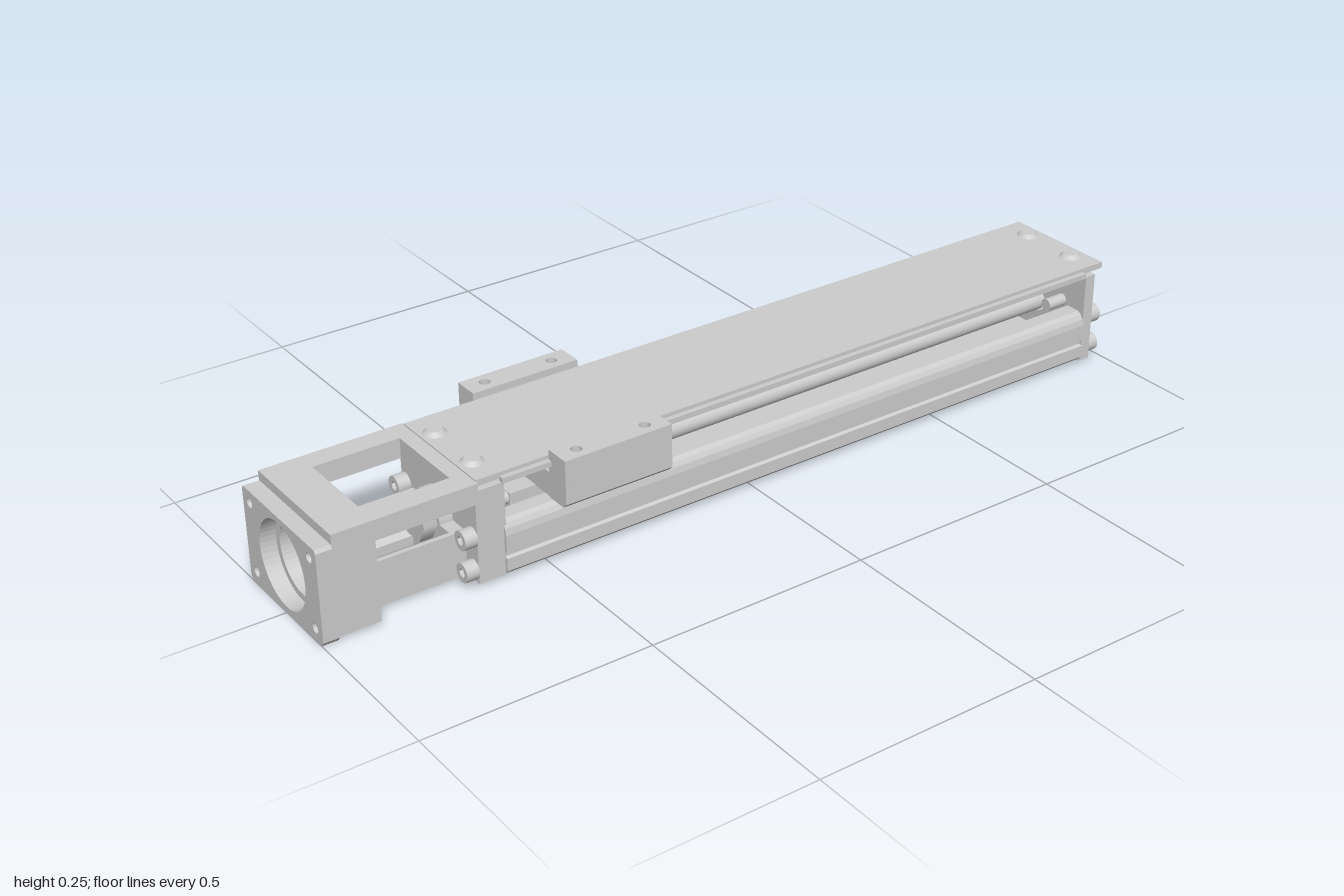
import * as THREE from 'three';

const mat = new THREE.MeshStandardMaterial({ color: 0xcccccc, side: THREE.DoubleSide });
const SHAFT_Y = 0.107;

export function createModel() {
  const model = new THREE.Group();
  const add = (name, geo, parent = model) => {
    const m = new THREE.Mesh(geo, mat);
    m.name = name;
    parent.add(m);
    return m;
  };
  const box = (name, x0, x1, y0, y1, z0, z1) =>
    add(name, new THREE.BoxGeometry(x1 - x0, y1 - y0, z1 - z0)
      .translate((x0 + x1) / 2, (y0 + y1) / 2, (z0 + z1) / 2));
  const rod = (name, x0, x1, y, z, r, sides = 24) =>
    add(name, new THREE.CylinderGeometry(r, r, x1 - x0, sides).rotateZ(Math.PI / 2)
      .translate((x0 + x1) / 2, y, z));
  const outline = (pts, holes = []) => {
    const s = new THREE.Shape(pts.map(p => new THREE.Vector2(...p)));
    for (const [x, y, r] of holes) s.holes.push(new THREE.Path().absarc(x, y, r, 0, Math.PI * 2, true));
    return s;
  };
  const rect = (x0, x1, y0, y1) => [[x0, y0], [x1, y0], [x1, y1], [x0, y1]];
  // Section in (z, y) swept along x
  const alongX = (name, x0, x1, pts, holes = []) =>
    add(name, new THREE.ExtrudeGeometry(
      outline(pts.map(([z, y]) => [-z, y]), holes.map(([z, y, r]) => [-z, y, r])),
      { depth: x1 - x0, bevelEnabled: false, curveSegments: 24 }).rotateY(Math.PI / 2).translate(x0, 0, 0));
  // Plan in (x, z) swept upwards
  const upwards = (name, y0, y1, shape) =>
    add(name, new THREE.ExtrudeGeometry(shape, { depth: y1 - y0, bevelEnabled: false, curveSegments: 16 })
      .rotateX(-Math.PI / 2).translate(0, y0, 0));
  // Socket head with a hexagonal recess, axis along +z before rotation
  const socketHead = (r, h) => {
    const s = new THREE.Shape().absarc(0, 0, r, 0, Math.PI * 2);
    const hex = [];
    for (let i = 0; i < 6; i++) hex.push(new THREE.Vector2(Math.cos(i * Math.PI / 3), Math.sin(i * Math.PI / 3)).multiplyScalar(r * 0.5));
    s.holes.push(new THREE.Path(hex));
    return new THREE.ExtrudeGeometry(s, { depth: h, bevelEnabled: false, curveSegments: 16 });
  };

  // Rail: bored floor with two grooved side walls
  const boltHoles = [];
  for (const x of [-0.11, 0.28, 0.67]) for (const z of [-0.07, 0.07]) boltHoles.push([x, z, 0.01]);
  upwards('railFloor', 0.01, 0.04, outline(rect(-0.6, 0.935, -0.1, 0.1), boltHoles));
  for (const s of [-1, 1]) {
    alongX('railWall', -0.6, 0.935, [
      [0.1, 0.01], [0.142, 0.01], [0.152, 0.02], [0.152, 0.048], [0.146, 0.052], [0.146, 0.06],
      [0.152, 0.064], [0.152, 0.1], [0.149, 0.114], [0.143, 0.124], [0.134, 0.13], [0.1, 0.13],
      [0.1, 0.1], [0.108, 0.09], [0.108, 0.075], [0.1, 0.065],
    ].map(([z, y]) => [z * s, y]));
  }

  // Ball screw and its journals
  rod('ballScrew', -0.6, 0.93, SHAFT_Y, 0, 0.023, 32);
  rod('driveShaft', -0.79, -0.6, SHAFT_Y, 0, 0.015);
  rod('endJournal', 0.92, 0.985, SHAFT_Y, 0, 0.014);
  rod('lockNut', -0.72, -0.685, SHAFT_Y, 0, 0.047, 6);
  rod('bearingCollar', -0.69, -0.655, SHAFT_Y, 0, 0.055);

  // Far end block: flange for the screws and narrower core
  const bore = [[0, SHAFT_Y, 0.027]];
  alongX('endFlange', 0.93, 0.957, rect(-0.15, 0.15, 0.01, 0.22), bore);
  alongX('endCore', 0.957, 0.992, rect(-0.1, 0.1, 0.01, 0.22), bore);

  // Near flange where the rail meets the motor housing
  alongX('housingFlange', -0.66, -0.595, rect(-0.145, 0.145, 0.01, 0.217), [[0, SHAFT_Y, 0.03]]);

  // Motor housing: end plate, mounting block, top frame, lower beams
  const corners = [];
  for (const z of [-0.12, 0.12]) for (const y of [0.03, 0.185]) corners.push([z, y, 0.011]);
  alongX('motorEndPlate', -1, -0.965,
    [[-0.14, 0], [0.14, 0], [0.148, 0.01], [0.148, 0.205], [0.143, 0.212], [-0.143, 0.212], [-0.148, 0.205], [-0.148, 0.01]],
    [[0, SHAFT_Y, 0.093], ...corners]);
  alongX('motorBlock', -0.965, -0.875, rect(-0.145, 0.145, 0.01, 0.19), [[0, SHAFT_Y, 0.078]]);
  const frame = outline(rect(-0.965, -0.652, -0.145, 0.145));
  frame.holes.push(outline(rect(-0.875, -0.685, -0.095, 0.095)));
  upwards('housingTopFrame', 0.188, 0.233, frame);
  for (const s of [-1, 1]) {
    alongX('lowerBeam', -0.875, -0.66,
      [[0.058, 0.01], [0.1, 0.01], [0.1, 0.11], [0.09, 0.11], [0.085, 0.06], [0.058, 0.03]].map(([z, y]) => [z * s, y]));
  }
  box('beamBridge', -0.69, -0.66, 0.01, 0.11, -0.1, 0.1);

  // Flat cover with turned-down lips and button screws
  box('cover', -0.652, 0.99, 0.222, 0.236, -0.137, 0.137);
  for (const s of [-1, 1]) box('coverLip', -0.6, 0.93, 0.216, 0.228, s * 0.142 - 0.007, s * 0.142 + 0.007);
  for (const x of [-0.62, 0.955]) for (const z of [-0.07, 0.07]) {
    add('coverScrew', new THREE.CylinderGeometry(0.016, 0.025, 0.008, 24)).position.set(x, 0.24, z);
  }

  // Clamping screws at both rail ends
  for (const [x, dir] of [[0.957, 1], [-0.66, -1]]) for (const z of [-0.128, 0.128]) for (const y of [0.037, 0.11]) {
    const g = new THREE.Group();
    g.name = 'flangeScrew';
    g.position.set(x, y, z);
    g.rotation.y = dir * Math.PI / 2;
    model.add(g);
    add('screwHead', socketHead(0.021, 0.028), g);
    add('screwRecessFloor', new THREE.CircleGeometry(0.015, 12), g).position.z = 0.014;
  }

  // Rubber stops
  for (const z of [-0.08, 0.08]) {
    rod('stopNear', -0.595, -0.555, 0.138, z, 0.014);
    rod('stopFar', 0.88, 0.93, 0.138, z, 0.014);
  }

  // Carriage: nut block in the rail, table, and outer mounting blocks
  box('nutBlock', -0.55, -0.2, 0.055, 0.147, -0.088, 0.088);
  box('carriageTable', -0.49, -0.24, 0.145, 0.2, -0.141, 0.141);
  for (const s of [-1, 1]) {
    const [zIn, zOut] = [0.14 * s, 0.198 * s];
    alongX('mountBlockBase', -0.49, -0.24,
      [[zIn, 0.143], [zOut - 0.01 * s, 0.143], [zOut, 0.153], [zOut, 0.17], [zIn, 0.17]]);
    upwards('mountBlock', 0.17, 0.25, outline(
      rect(-0.49, -0.24, Math.min(-zIn, -zOut), Math.max(-zIn, -zOut)),
      [[-0.445, -0.169 * s, 0.012], [-0.285, -0.169 * s, 0.012]]));
    for (const x of [-0.462, -0.417]) {
      add('sidePin', new THREE.CylinderGeometry(0.008, 0.008, 0.004, 16).rotateX(Math.PI / 2))
        .position.set(x, 0.19, zOut - 0.001 * s);
    }
  }
  return model;
}
